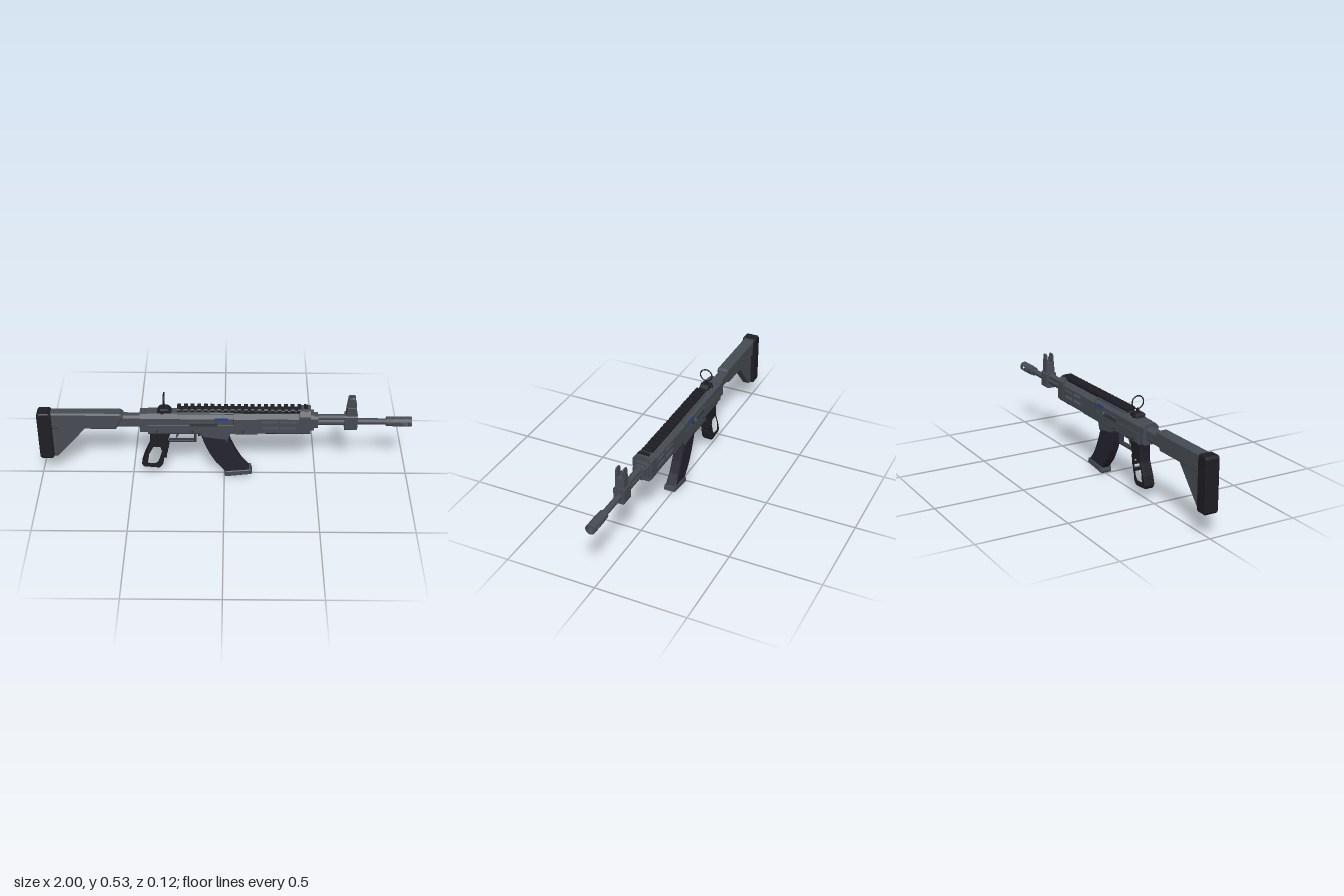
import * as THREE from 'three';

const mat = (name, color) => {
  const m = new THREE.MeshStandardMaterial({ color });
  m.name = name;
  return m;
};

export function createModel() {
  const grey = mat('gunmetal grey', 0x474c53);
  const deep = mat('shadow grey', 0x34383e);
  const dark = mat('black polymer', 0x1e1e25);
  const magMat = mat('magazine black', 0x252430);
  const blue = mat('blue marking', 0x1f3f9c);

  const root = new THREE.Group();
  root.name = 'rifle';
  const body = new THREE.Group();
  body.name = 'rifleBody';
  body.position.z = 0.007;
  root.add(body);

  const add = (name, geo, material, x = 0, y = 0, z = 0) => {
    const m = new THREE.Mesh(geo, material);
    m.name = name;
    m.position.set(x, y, z);
    body.add(m);
    return m;
  };
  const path = (pts) => pts.map(([x, y]) => new THREE.Vector2(x, y));

  // side outline given thickness across z, with optional openings and bevel
  const slab = (pts, hw, bevel = 0.004, holes = []) => {
    const s = new THREE.Shape(path(pts));
    holes.forEach((h) => s.holes.push(new THREE.Path(path(h))));
    const g = new THREE.ExtrudeGeometry(s, {
      depth: 2 * (hw - bevel), bevelEnabled: bevel > 0, bevelThickness: bevel,
      bevelSize: bevel, bevelOffset: -bevel, bevelSegments: 1, curveSegments: 8,
    });
    return g.translate(0, 0, -(hw - bevel));
  };
  // chamfered block running along x; ct and cb are top and bottom chamfers
  const bar = (x0, x1, y0, y1, hw, ct = 0.01, cb = ct) => {
    const s = new THREE.Shape(path([
      [-hw + cb, y0], [hw - cb, y0], [hw, y0 + cb], [hw, y1 - ct],
      [hw - ct, y1], [-hw + ct, y1], [-hw, y1 - ct], [-hw, y0 + cb],
    ]));
    return new THREE.ExtrudeGeometry(s, { depth: x1 - x0, bevelEnabled: false })
      .rotateY(Math.PI / 2).translate(x0, 0, 0);
  };
  const rod = (x0, x1, y, r, n = 20) => new THREE.CylinderGeometry(r, r, x1 - x0, n)
    .rotateZ(Math.PI / 2).translate((x0 + x1) / 2, y, 0);
  const box = (w, h, d) => new THREE.BoxGeometry(w, h, d);
  const rect = (x0, x1, y0, y1) => [[x0, y0], [x1, y0], [x1, y1], [x0, y1]];

  // shoulder stock
  add('buttPad', slab([[-1, 0.135], [-0.99, 0.123], [-0.935, 0.123], [-0.925, 0.135], [-0.925, 0.405],
    [-0.935, 0.417], [-0.99, 0.417], [-1, 0.405]], 0.039, 0.006), dark);
  add('stock', slab([[-0.926, 0.315], [-0.58, 0.315], [-0.54, 0.385], [-0.54, 0.402], [-0.555, 0.414],
    [-0.926, 0.414]], 0.032, 0.008), grey);
  add('stockStrut', slab([[-0.926, 0.13], [-0.905, 0.13], [-0.742, 0.318], [-0.926, 0.318]], 0.022, 0.004,
    [[[-0.888, 0.312], [-0.888, 0.21], [-0.8, 0.312]]]), grey);
  add('bufferTube', bar(-0.59, -0.44, 0.325, 0.397, 0.027, 0.012), grey);
  add('receiverCap', bar(-0.45, -0.405, 0.305, 0.416, 0.046, 0.018, 0.008), grey);

  // receiver
  add('lowerReceiver', bar(-0.408, 0.175, 0.297, 0.36, 0.05, 0.002, 0.008), grey);
  add('upperReceiver', bar(-0.408, 0.048, 0.355, 0.42, 0.048, 0.022, 0.001), grey);
  add('receiverStep', bar(-0.25, 0.048, 0.41, 0.426, 0.03, 0.004), grey);
  for (const s of [-1, 1]) {
    add('ejectionPort', box(0.15, 0.02, 0.004), deep, -0.11, 0.363, s * 0.0495);
    add('portRail', box(0.14, 0.006, 0.008), grey, -0.12, 0.376, s * 0.05);
    add('receiverMark', box(0.07, 0.009, 0.004), blue, -0.015, 0.397, s * 0.0475);
    for (const x of [-0.36, -0.17, 0.1]) {
      add('pin', new THREE.CylinderGeometry(0.007, 0.007, 0.004, 12).rotateX(Math.PI / 2), deep, x, 0.318, s * 0.051);
    }
  }
  add('seam', bar(0.046, 0.052, 0.3, 0.418, 0.0485, 0.02, 0.008), deep);
  add('chargingStem', new THREE.CylinderGeometry(0.006, 0.006, 0.02, 12).rotateX(Math.PI / 2), grey, -0.062, 0.367, -0.052);
  add('chargingKnob', new THREE.CylinderGeometry(0.013, 0.013, 0.01, 16).rotateX(Math.PI / 2), grey, -0.062, 0.367, -0.061);
  add('selectorLever', box(0.05, 0.012, 0.008), deep, -0.33, 0.313, -0.052);

  // handguard with open vent slots
  add('handguardRear', bar(0.052, 0.178, 0.297, 0.42, 0.05, 0.022, 0.008), grey);
  add('handguardTop', bar(0.175, 0.46, 0.393, 0.422, 0.05, 0.022, 0.001), grey);
  add('handguardBottom', bar(0.175, 0.46, 0.297, 0.334, 0.05, 0.001, 0.014), grey);
  const slots = [];
  for (const x of [0.2, 0.298]) {
    for (const y of [0.337, 0.374]) slots.push(rect(x, x + 0.086, y, y + 0.016));
  }
  for (const s of [-1, 1]) {
    add('handguardSide', slab(rect(0.175, 0.46, 0.325, 0.397), 0.004, 0, slots), grey, 0, 0, s * 0.046);
  }
  add('handguardBand', bar(0.4, 0.46, 0.299, 0.441, 0.053, 0.025, 0.014), grey);
  add('handguardCollar', bar(0.46, 0.478, 0.315, 0.412, 0.043, 0.015), grey);
  add('handguardNose', bar(0.478, 0.5, 0.325, 0.402, 0.033, 0.012), grey);
  add('slingStud', slab([[0.39, 0.3], [0.402, 0.28], [0.424, 0.277], [0.434, 0.3]], 0.015, 0.003), deep);

  // toothed top rail
  add('railBase', bar(-0.25, 0.455, 0.42, 0.436, 0.024, 0.003), dark);
  for (let i = 0; i < 20; i++) {
    add('railTooth', bar(-0.25 + i * 0.0355, -0.23 + i * 0.0355, 0.43, 0.449, 0.03, 0.006), dark);
  }

  // ring rear sight
  add('rearSightBase', slab([[-0.36, 0.412], [-0.278, 0.412], [-0.285, 0.43], [-0.3, 0.443], [-0.34, 0.443],
    [-0.353, 0.43]], 0.026), dark);
  add('rearSightStem', box(0.012, 0.026, 0.012), dark, -0.32, 0.45);
  add('rearSightRing', new THREE.TorusGeometry(0.0345, 0.0035, 8, 36).rotateY(Math.PI / 2), dark, -0.32, 0.495);
  add('rearSightScrew', rodZ(0.008, 0.07), dark, -0.33, 0.426);

  // barrel and gas tube
  add('barrel', rod(0.49, 0.7, 0.357, 0.021), grey);
  add('gasTube', rod(0.49, 0.65, 0.383, 0.017), grey);
  add('barrelFront', rod(0.7, 0.93, 0.357, 0.0165), grey);

  // front sight
  add('frontSightBlock', bar(0.642, 0.71, 0.315, 0.407, 0.031, 0.008), grey);
  add('frontSightTower', slab([[0.648, 0.4], [0.706, 0.4], [0.702, 0.46], [0.652, 0.46]], 0.025, 0.003), grey);
  for (const s of [-1, 1]) {
    add('frontSightWing', slab([[0.652, 0.455], [0.702, 0.455], [0.696, 0.505], [0.69, 0.513], [0.664, 0.513],
      [0.658, 0.505]], 0.004, 0.001, [rect(0.682, 0.69, 0.482, 0.493)]), grey, 0, 0, s * 0.019);
  }
  add('frontSightPost', new THREE.CylinderGeometry(0.002, 0.006, 0.04, 10), grey, 0.677, 0.476);

  // muzzle brake: hollow shell with side openings
  const shell = (x0, x1, gap) => {
    const arc = (from, to) => {
      const s = new THREE.Shape();
      s.absarc(0, 0, 0.027, from, to, false);
      s.absarc(0, 0, 0.018, to, from, true);
      return new THREE.ExtrudeGeometry(s, { depth: x1 - x0, bevelEnabled: false, curveSegments: 18 })
        .rotateY(Math.PI / 2);
    };
    for (const k of [0, Math.PI]) add('muzzleBrake', arc(k + gap, k + Math.PI - gap), grey, x0, 0.357);
  };
  add('muzzleCollar', rod(0.865, 0.9, 0.357, 0.025), grey);
  shell(0.9, 0.912, 0);
  shell(0.912, 0.932, 0.38);
  shell(0.932, 0.947, 0);
  shell(0.947, 0.98, 0.38);
  shell(0.98, 1, 0);

  // pistol grip with open centre
  add('grip', slab([[-0.4, 0.3], [-0.285, 0.3], [-0.3, 0.25], [-0.31, 0.21], [-0.308, 0.175], [-0.325, 0.13],
    [-0.335, 0.075], [-0.355, 0.054], [-0.44, 0.062], [-0.45, 0.08], [-0.435, 0.13], [-0.405, 0.2], [-0.4, 0.25]],
  0.03, 0.007, [[[-0.408, 0.195], [-0.385, 0.206], [-0.34, 0.206], [-0.33, 0.17], [-0.352, 0.1], [-0.372, 0.083],
    [-0.425, 0.086], [-0.42, 0.115]]]), dark);
  for (const y of [0.13, 0.165, 0.2]) {
    add('gripRidge', box(0.012, 0.016, 0.045), dark, -0.312 + (y - 0.165) * 0.2, y);
  }

  // trigger and guard
  add('triggerGuard', slab([[-0.3, 0.22], [-0.15, 0.22], [-0.148, 0.3], [-0.162, 0.3], [-0.163, 0.231],
    [-0.3, 0.231]], 0.014, 0.002), deep);
  add('trigger', slab([[-0.262, 0.3], [-0.24, 0.3], [-0.243, 0.27], [-0.255, 0.245], [-0.262, 0.247],
    [-0.254, 0.272]], 0.008, 0.001), grey);
  add('magazineCatch', slab([[-0.148, 0.3], [-0.12, 0.3], [-0.128, 0.262], [-0.14, 0.262]], 0.012, 0.001), dark);

  // curved magazine
  add('magazineWell', slab([[-0.145, 0.3], [0.035, 0.3], [0.02, 0.25], [-0.105, 0.268], [-0.135, 0.285]], 0.036), grey);
  const magOutline = [[-0.125, 0.28], [-0.108, 0.222], [-0.08, 0.155], [-0.045, 0.093], [0.01, 0.028],
    [0.145, 0.038], [0.095, 0.1], [0.06, 0.165], [0.034, 0.225], [0.018, 0.28]];
  add('magazine', slab(magOutline, 0.028, 0.006), magMat);
  add('magazineBase', slab([[0.002, 0.012], [0.006, 0], [0.146, 0.017], [0.153, 0.022], [0.145, 0.048],
    [0.01, 0.036]], 0.033, 0.004), grey);
  for (const s of [-1, 1]) {
    add('magazineMark', slab([[0.004, 0.252], [0.016, 0.252], [0.023, 0.222]], 0.002, 0), blue, 0, 0, s * 0.027);
  }
  return root;
}

// short cylinder lying across z
function rodZ(r, length) {
  return new THREE.CylinderGeometry(r, r, length, 14).rotateX(Math.PI / 2);
}
